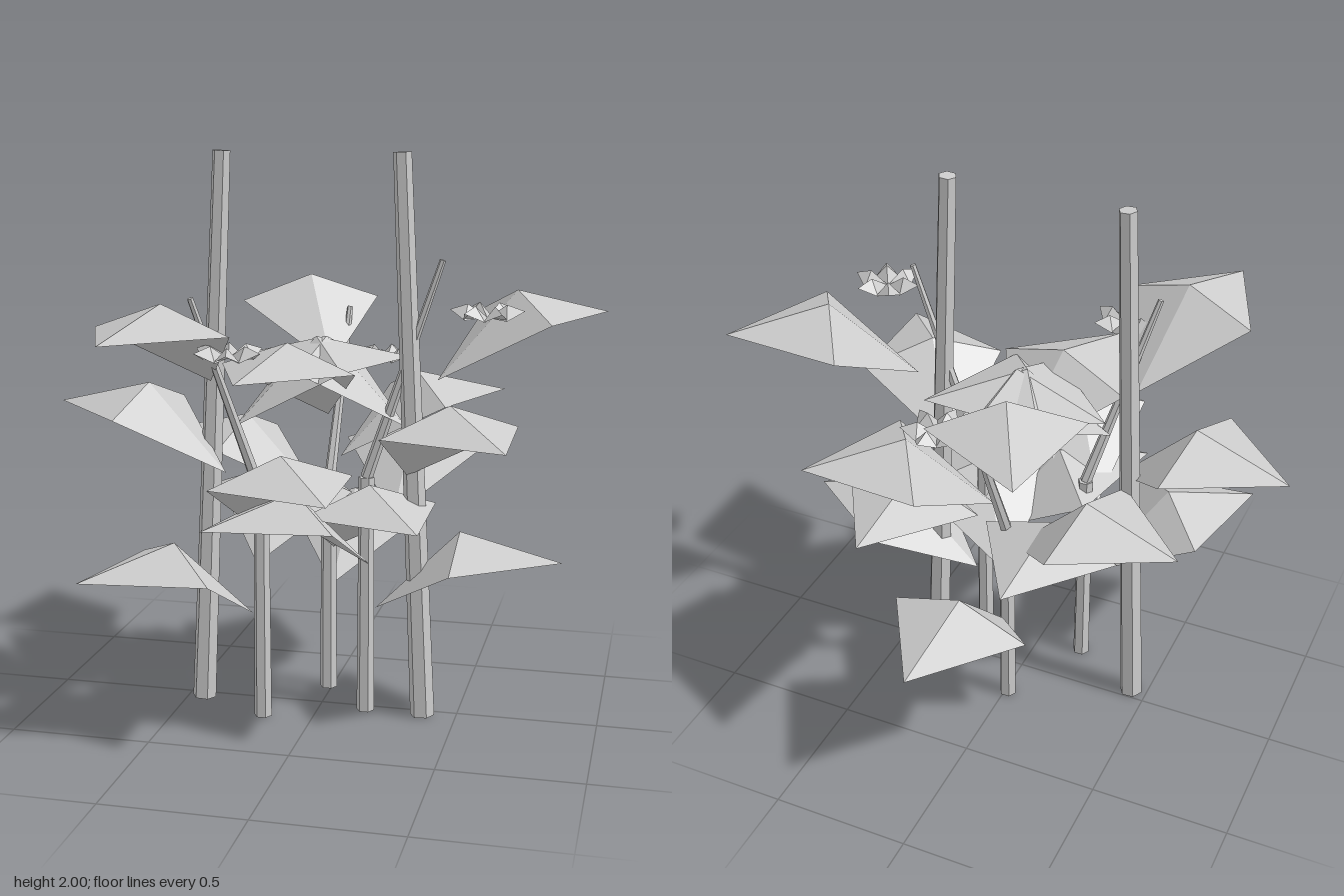
import * as THREE from 'three';

const material = new THREE.MeshStandardMaterial({
  color: 0xcccccc, flatShading: true, side: THREE.DoubleSide,
});
const CENTRE = new THREE.Vector3(-0.03, 0, 0.04);
const GOLDEN = THREE.MathUtils.degToRad(137.5);

// Tapered six-sided rod between two points
function rod(name, from, to, rBottom, rTop) {
  const dir = to.clone().sub(from);
  const geo = new THREE.CylinderGeometry(rTop, rBottom, dir.length(), 6);
  geo.rotateY(Math.PI / 6);
  const mesh = new THREE.Mesh(geo, material);
  mesh.name = name;
  mesh.position.copy(from).add(to).multiplyScalar(0.5);
  mesh.quaternion.setFromUnitVectors(new THREE.Vector3(0, 1, 0), dir.normalize());
  return mesh;
}

// Folded four-sided blade growing along +x: base, two sides, tip and a raised apex
function bladeGeometry(base, apex, tip, side) {
  const b = [base[0], base[1], 0];
  const a = [apex[0], apex[1], 0];
  const t = [tip[0], tip[1], 0];
  const front = [side[0], side[1], side[2]];
  const back = [side[0], side[1], -side[2]];
  const corners = [b, front, a, front, t, a, t, back, a, back, b, a].flat();
  const geo = new THREE.BufferGeometry();
  geo.setAttribute('position', new THREE.Float32BufferAttribute(corners, 3));
  geo.computeVertexNormals();
  return geo;
}

const leafGeo = bladeGeometry([0.035, -0.21], [0.335, 0.092], [0.695, 0], [0.335, 0, 0.262]);
const petalGeo = bladeGeometry([0, -0.025], [0.065, 0.02], [0.125, 0], [0.07, -0.03, 0.045]);

function blade(name, geo, position, azimuth) {
  const mesh = new THREE.Mesh(geo, material);
  mesh.name = name;
  mesh.position.copy(position);
  mesh.rotation.y = -azimuth;
  return mesh;
}

function flower(position, turn) {
  const group = new THREE.Group();
  group.name = 'flower';
  group.position.copy(position);
  for (let i = 0; i < 6; i++) {
    group.add(blade('petal', petalGeo, new THREE.Vector3(), turn + i * Math.PI / 3));
  }
  return group;
}

// Upright stem, leaning shoot, spiral of leaves and one flower
function plant(index, flowerPosition) {
  const group = new THREE.Group();
  group.name = 'plant';
  const azimuth = index * GOLDEN;
  const out = new THREE.Vector3(Math.cos(azimuth), 0, Math.sin(azimuth));
  const foot = CENTRE.clone().addScaledVector(out, 0.2);
  const joint = foot.clone().setY(0.87 - index * 0.05);
  const top = foot.clone().addScaledVector(out, 0.26).setY(1.64 - index * 0.115);
  group.add(rod('stem', foot, joint, 0.032, 0.028));
  group.add(rod('shoot', joint, top, 0.022, 0.011));
  for (let i = 0; i < 6; i++) {
    const node = foot.clone();
    node.x += out.x * 0.043 * i;
    node.y = 0.6 + i * 0.1665;
    group.add(blade('leaf', leafGeo, node, azimuth + i * GOLDEN));
  }
  group.add(flower(flowerPosition, azimuth));
  return group;
}

export function createModel() {
  const model = new THREE.Group();
  model.name = 'stakedPlants';

  // Two stakes leaning towards each other
  for (const s of [-1, 1]) {
    model.add(rod('stake',
      new THREE.Vector3(CENTRE.x + s * 0.41, 0, CENTRE.z),
      new THREE.Vector3(CENTRE.x + s * 0.317, 2, CENTRE.z), 0.044, 0.032));
  }

  // Three plants around the centre
  const flowers = [[0.6, 1.49, 0.16], [-0.21, 1.37, 0.45], [0.17, 1.26, -0.32]];
  flowers.forEach((p, i) => model.add(plant(i, new THREE.Vector3(...p))));
  return model;
}
